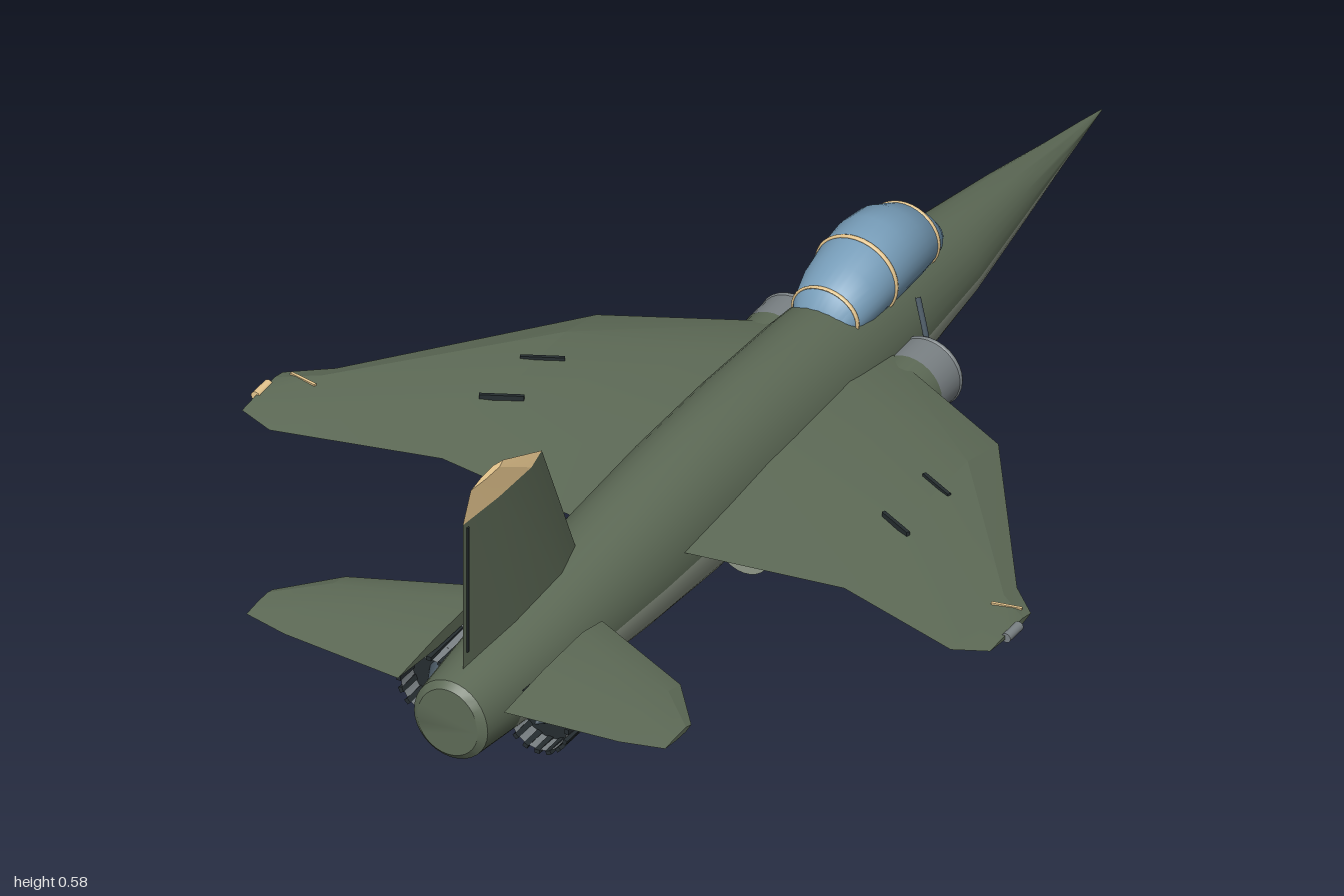
import * as THREE from 'three';
import { toCreasedNormals } from 'three/addons/utils/BufferGeometryUtils.js';
import { RoundedBoxGeometry } from 'three/addons/geometries/RoundedBoxGeometry.js';

const mat = (name, color, side = THREE.FrontSide) => {
  const m = new THREE.MeshStandardMaterial({ color, side });
  m.name = name;
  return m;
};

// Closed skin through equal-sized rings of points; isSecond(i, j) picks the second material.
function loft(rings, crease, isSecond = () => false) {
  const first = [], second = [], n = rings[0].length;
  for (let i = 0; i < rings.length - 1; i++) {
    for (let j = 0; j < n; j++) {
      const k = (j + 1) % n, [a, b, c, d] = [rings[i][j], rings[i][k], rings[i + 1][k], rings[i + 1][j]];
      (isSecond(i, j) ? second : first).push([a, b, c], [a, c, d]);
    }
  }
  const lastRing = rings[rings.length - 1];
  for (let j = 1; j < n - 1; j++) {
    first.push([rings[0][0], rings[0][j + 1], rings[0][j]], [lastRing[0], lastRing[j], lastRing[j + 1]]);
  }
  const all = [...first, ...second];
  // turn the skin outward if its signed volume is negative
  const A = new THREE.Vector3(), B = new THREE.Vector3(), C = new THREE.Vector3();
  const volume = all.reduce((s, [a, b, c]) => s + A.set(...a).dot(B.set(...b).cross(C.set(...c))), 0);
  if (volume < 0) all.forEach((t) => t.reverse());
  const geo = new THREE.BufferGeometry();
  geo.setAttribute('position', new THREE.Float32BufferAttribute(all.flat(2), 3));
  geo.addGroup(0, first.length * 3, 0);
  geo.addGroup(first.length * 3, second.length * 3, 1);
  return toCreasedNormals(geo, crease);
}

// Cross-section at z, with separate heights above and below its widest level
const SEG = 32;
const ring = (z, w, top, bot, mid) => Array.from({ length: SEG }, (_, j) => {
  const a = (j / SEG) * Math.PI * 2, s = Math.sin(a);
  return [w * Math.cos(a), mid + s * (s > 0 ? top - mid : mid - bot), z];
});

// Thin aerofoil section at a span station: [span, lead z, trail z, height, half thickness]
function section([s, lead, trail, h, t], place) {
  const c = trail - lead;
  return [[0, 0], [0.2, 1], [0.6, 0.85], [1, 0.08], [0.6, -0.85], [0.2, -1]]
    .map(([f, v]) => place(s, h + v * t, lead + f * c));
}
const aerofoil = (list, place) => loft(list.map((s) => section(s, place)), 0.3, (i, j) => j >= 3);

export function createModel() {
  const root = new THREE.Group();
  root.name = 'jetAircraft';
  const green = mat('dark green', 0x5e6b57);
  const belly = mat('pale grey green', 0x909989);
  const glass = mat('canopy blue', 0x779db9);
  const tan = mat('tan', 0xf0cf95);
  const slate = mat('slate', 0x485661);
  const grey = mat('metal grey', 0x7b8285, THREE.DoubleSide);
  const black = mat('near black', 0x262d30);

  const add = (name, geo, material, x = 0, y = 0, z = 0, parent = root) => {
    const m = new THREE.Mesh(geo, material);
    m.name = name;
    m.position.set(x, y, z);
    parent.add(m);
    return m;
  };
  const box = (w, h, d) => new THREE.BoxGeometry(w, h, d);
  const tubeZ = (r0, r1, len, open = false) =>
    new THREE.CylinderGeometry(r0, r1, len, 28, 1, open).rotateX(Math.PI / 2);

  // Fuselage: [z, half width, top, bottom], pale underside below the waterline
  const stations = [
    [-1, 0.001, 0.188, 0.186], [-0.94, 0.01, 0.199, 0.18], [-0.85, 0.023, 0.213, 0.168],
    [-0.7, 0.046, 0.24, 0.147], [-0.5, 0.076, 0.268, 0.121], [-0.3, 0.093, 0.295, 0.093],
    [-0.1, 0.101, 0.312, 0.073], [0.1, 0.103, 0.32, 0.064], [0.3, 0.103, 0.318, 0.066],
    [0.5, 0.1, 0.305, 0.08], [0.75, 0.088, 0.283, 0.1], [0.9, 0.075, 0.27, 0.114],
    [0.99, 0.066, 0.261, 0.121], [1, 0.054, 0.25, 0.132],
  ];
  add('fuselage', loft(stations.map((s) => ring(...s, 0.187)), 0.7,
    (i, j) => j >= SEG / 2 && i > 0 && i < 11), [green, belly]);

  // Canopy: [z, half width, top], with frame hoops over it
  const sill = 0.24;
  const bubble = [
    [-0.485, 0.006, 0.268], [-0.465, 0.03, 0.293], [-0.43, 0.05, 0.33], [-0.4, 0.06, 0.354],
    [-0.35, 0.07, 0.378], [-0.3, 0.073, 0.385], [-0.25, 0.072, 0.376], [-0.2, 0.068, 0.359],
    [-0.155, 0.058, 0.336], [-0.13, 0.042, 0.308],
  ];
  add('canopy', loft(bubble.map(([z, w, top]) => ring(z, w, top, sill, (top + sill) / 2)), 0.8), glass);
  for (const i of [3, 6, 8]) {
    const [z, w, top] = bubble[i], mid = (top + sill) / 2;
    add('canopyFrame', new THREE.TorusGeometry(1, 0.045, 6, 36).scale(w, top - mid, 0.09), tan, 0, mid, z);
  }

  // Fin, pale on its right face, and its painted tip
  const upright = (s, h, z) => [h, s, z];
  const finTop = [0.53, 0.712, 0.955, 0, 0.01];
  add('fin', aerofoil([[0.24, 0.585, 0.955, 0, 0.016], finTop], upright), [green, belly]);
  add('finTip', aerofoil([finTop, [0.58, 0.83, 0.93, 0, 0.005]], upright), tan);
  add('rudderLine', box(0.009, 0.23, 0.005), black, 0, 0.405, 0.943);

  for (const side of [1, -1]) {
    const flat = (s, h, z) => [side * s, h, z];

    // Wings and tailplanes, pale underneath
    add('wing', aerofoil([
      [0.07, -0.215, 0.445, 0.217, 0.024], [0.36, -0.07, 0.402, 0.217, 0.022],
      [0.61, 0.3, 0.503, 0.245, 0.01], [0.67, 0.36, 0.485, 0.252, 0.005],
    ], flat), [green, belly]);
    add('tailplane', aerofoil([
      [0.095, 0.69, 0.99, 0.234, 0.013], [0.3, 0.8, 0.988, 0.247, 0.009],
      [0.375, 0.895, 0.975, 0.252, 0.004],
    ], flat), [green, belly]);

    // Wing fences, tip lights and tip markings
    for (const z of [0.107, 0.232]) {
      add('wingFence', box(0.07, 0.012, 0.006), black, side * 0.353, 0.237, z).rotation.y = -side * 0.46;
    }
    add('tipLight', tubeZ(0.008, 0.008, 0.04), side > 0 ? grey : tan, side * 0.672, 0.252, 0.42);
    add('tipMarking', box(0.05, 0.005, 0.005), tan, side * 0.63, 0.255, 0.366).rotation.y = side * 0.2;

    // Intake duct: green mouth, pale rear, grey lip and dark fan
    const ix = side * 0.121, iy = 0.163;
    add('intakeMouth', tubeZ(0.058, 0.058, 0.19), green, ix, iy, -0.125);
    add('intakeDuct', tubeZ(0.048, 0.056, 0.34), belly, ix, iy - 0.006, 0.13);
    add('intakeLip', tubeZ(0.059, 0.059, 0.06, true), grey, ix, iy, -0.235);
    add('intakeRing', new THREE.TorusGeometry(0.056, 0.005, 8, 28), grey, ix, iy, -0.264);
    add('intakeThroat', new THREE.CircleGeometry(0.057, 28).rotateY(Math.PI), black, ix, iy, -0.225);
    const fan = new THREE.Group();
    fan.name = 'intakeFan';
    fan.position.set(ix, iy, -0.245);
    root.add(fan);
    add('fanHub', new THREE.ConeGeometry(0.018, 0.04, 16).rotateX(-Math.PI / 2), slate, 0, 0, -0.008, fan);
    for (let i = 0; i < 12; i++) {
      const blade = add('fanBlade', box(0.009, 0.05, 0.008).translate(0, 0.027, 0), slate, 0, 0, 0, fan);
      blade.rotation.z = (i / 12) * Math.PI * 2;
    }

    // Engine nozzle with a ring of dark petals laid over grey metal
    const nx = side * 0.097, ny = 0.162;
    add('engine', tubeZ(0.051, 0.06, 0.2, true), grey, nx, ny, 0.79);
    add('engineFront', new THREE.CircleGeometry(0.06, 28), grey, nx, ny, 0.692);
    add('engineCore', new THREE.CircleGeometry(0.053, 28), black, nx, ny, 0.85);
    add('exhaustCone', new THREE.ConeGeometry(0.024, 0.05, 16).rotateX(Math.PI / 2), slate, nx, ny, 0.875);
    for (let i = 0; i < 16; i++) {
      const a = (i / 16) * Math.PI * 2;
      const petal = add('nozzlePetal', box(0.009, 0.007, 0.1), black,
        nx + Math.cos(a) * 0.0535, ny + Math.sin(a) * 0.0535, 0.843);
      petal.rotation.z = a - Math.PI / 2;
    }

    // Forward pod strut foot and the hose beside the cockpit
    add('strutFoot', new THREE.CylinderGeometry(0.024, 0.024, 0.05, 16), slate, side * 0.09, 0.055, -0.232);
    const hose = new THREE.CatmullRomCurve3([[0.09, 0.07, -0.235], [0.125, 0.11, -0.262],
      [0.115, 0.2, -0.272], [0.088, 0.275, -0.288]].map(([x, y, z]) => new THREE.Vector3(side * x, y, z)));
    add('hose', new THREE.TubeGeometry(hose, 16, 0.005, 8), slate);
  }

  // Belly pod: base plate, body, mounting rail and pylons
  add('podBase', new RoundedBoxGeometry(0.28, 0.022, 0.365, 3, 0.009), slate, 0, 0.011, -0.0625);
  add('podBody', new RoundedBoxGeometry(0.275, 0.076, 0.195, 3, 0.01), slate, 0, 0.055, -0.0675);
  add('podRail', box(0.2, 0.014, 0.27), black, 0, 0.096, -0.035);
  for (const x of [-0.06, 0.06]) add('podPylon', box(0.02, 0.05, 0.12), black, x, 0.115, -0.06);

  return root;
}
